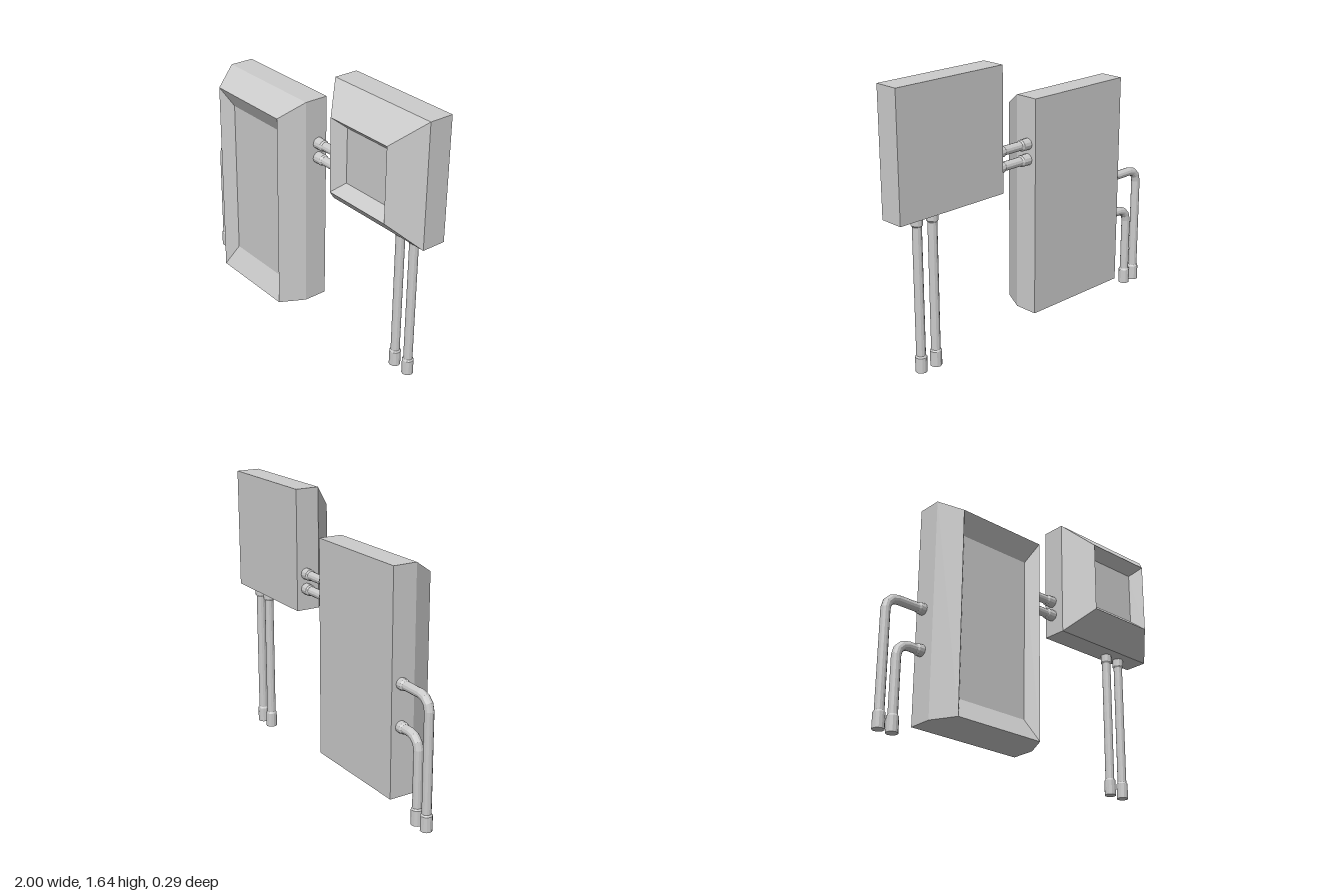
import * as THREE from 'three';

const PIPE_R = 0.027, COLLAR_R = 0.034, PIPE_Z = -0.086, SIDES = 12;
const material = new THREE.MeshStandardMaterial({ color: 0xcccccc, flatShading: true });

function mesh(name, geometry) {
  const m = new THREE.Mesh(geometry, material);
  m.name = name;
  return m;
}

// Cabinet lofted through rectangles [x0, x1, y0, y1, z], from back to recessed front
function cabinet(name, rects) {
  const pos = [];
  const rings = rects.map(([x0, x1, y0, y1, z]) =>
    [[x0, y0, z], [x1, y0, z], [x1, y1, z], [x0, y1, z]]);
  const quad = (a, b, c, d) => pos.push(...a, ...b, ...c, ...a, ...c, ...d);
  for (let r = 0; r < rings.length - 1; r++) {
    for (let i = 0; i < 4; i++) {
      const j = (i + 1) % 4;
      quad(rings[r][i], rings[r][j], rings[r + 1][j], rings[r + 1][i]);
    }
  }
  quad(...[...rings[0]].reverse());
  quad(...rings[rings.length - 1]);
  const g = new THREE.BufferGeometry();
  g.setAttribute('position', new THREE.Float32BufferAttribute(pos, 3));
  g.computeVertexNormals();
  return mesh(name, g);
}

// Collar starting at (x, y) and tapering onto the pipe along the given direction
function collar(name, x, y, length, dx, dy) {
  const profile = [[0, 0], [COLLAR_R, 0], [COLLAR_R, length - 0.01], [PIPE_R, length]]
    .map(p => new THREE.Vector2(...p));
  const m = mesh(name, new THREE.LatheGeometry(profile, SIDES));
  m.position.set(x, y, PIPE_Z);
  m.quaternion.setFromUnitVectors(new THREE.Vector3(0, 1, 0), new THREE.Vector3(dx, dy, 0));
  return m;
}

// Curve that visits exactly the listed points, keeping bends faceted
class PointPath extends THREE.Curve {
  constructor(points) {
    super();
    this.points = points;
  }
  getPointAt(u) {
    return this.points[Math.round(u * (this.points.length - 1))].clone();
  }
  getTangentAt(u) {
    const p = this.points, i = Math.round(u * (p.length - 1)), t = new THREE.Vector3();
    if (i > 0) t.add(p[i].clone().sub(p[i - 1]).normalize());
    if (i < p.length - 1) t.add(p[i + 1].clone().sub(p[i]).normalize());
    return t.normalize();
  }
}

function pipe(name, coords) {
  const points = coords.map(([x, y]) => new THREE.Vector3(x, y, PIPE_Z));
  return mesh(name, new THREE.TubeGeometry(new PointPath(points), points.length - 1, PIPE_R, SIDES));
}

export function createModel() {
  const group = new THREE.Group();

  // Tall cabinet: bevelled at the top and sides, straight at the bottom
  group.add(cabinet('tallCabinet', [
    [-0.715, 0.015, 0.09, 1.405, -0.147],
    [-0.715, 0.015, 0.09, 1.405, 0],
    [-0.637, -0.063, 0.09, 1.317, 0.147],
    [-0.58, -0.12, 0.22, 1.2, 0.08],
  ]));

  // Square cabinet: bevelled on all four sides
  group.add(cabinet('squareCabinet', [
    [0.268, 1, 0.91, 1.64, -0.147],
    [0.268, 1, 0.91, 1.64, 0],
    [0.412, 0.852, 1.055, 1.495, 0.147],
    [0.47, 0.795, 1.112, 1.437, 0.08],
  ]));

  // Horizontal pipes joining the cabinets
  for (const y of [1.132, 1.04]) {
    group.add(
      pipe('linkPipe', [[0.015, y], [0.268, y]]),
      collar('linkCollar', 0.015, y, 0.065, 1, 0),
      collar('linkCollar', 0.268, y, 0.06, -1, 0));
  }

  // Straight pipes below the square cabinet
  for (const x of [0.735, 0.842]) {
    group.add(
      pipe('dropPipe', [[x, 0.05], [x, 0.91]]),
      collar('dropPipeFoot', x, 0, 0.1, 0, 1),
      collar('dropPipeCollar', x, 0.91, 0.055, 0, -1));
  }

  // Bent pipes beside the tall cabinet
  const bend = 0.075;
  for (const [x, y] of [[-0.965, 0.755], [-0.88, 0.508]]) {
    const path = [[x, 0.05]];
    for (let i = 0; i <= 3; i++) {
      const a = (i / 3) * Math.PI / 2;
      path.push([x + bend * (1 - Math.cos(a)), y - bend * (1 - Math.sin(a))]);
    }
    path.push([-0.715, y]);
    group.add(
      pipe('bentPipe', path),
      collar('bentPipeFoot', x, 0, 0.1, 0, 1),
      collar('bentPipeCollar', -0.715, y, 0.042, -1, 0));
  }
  return group;
}
